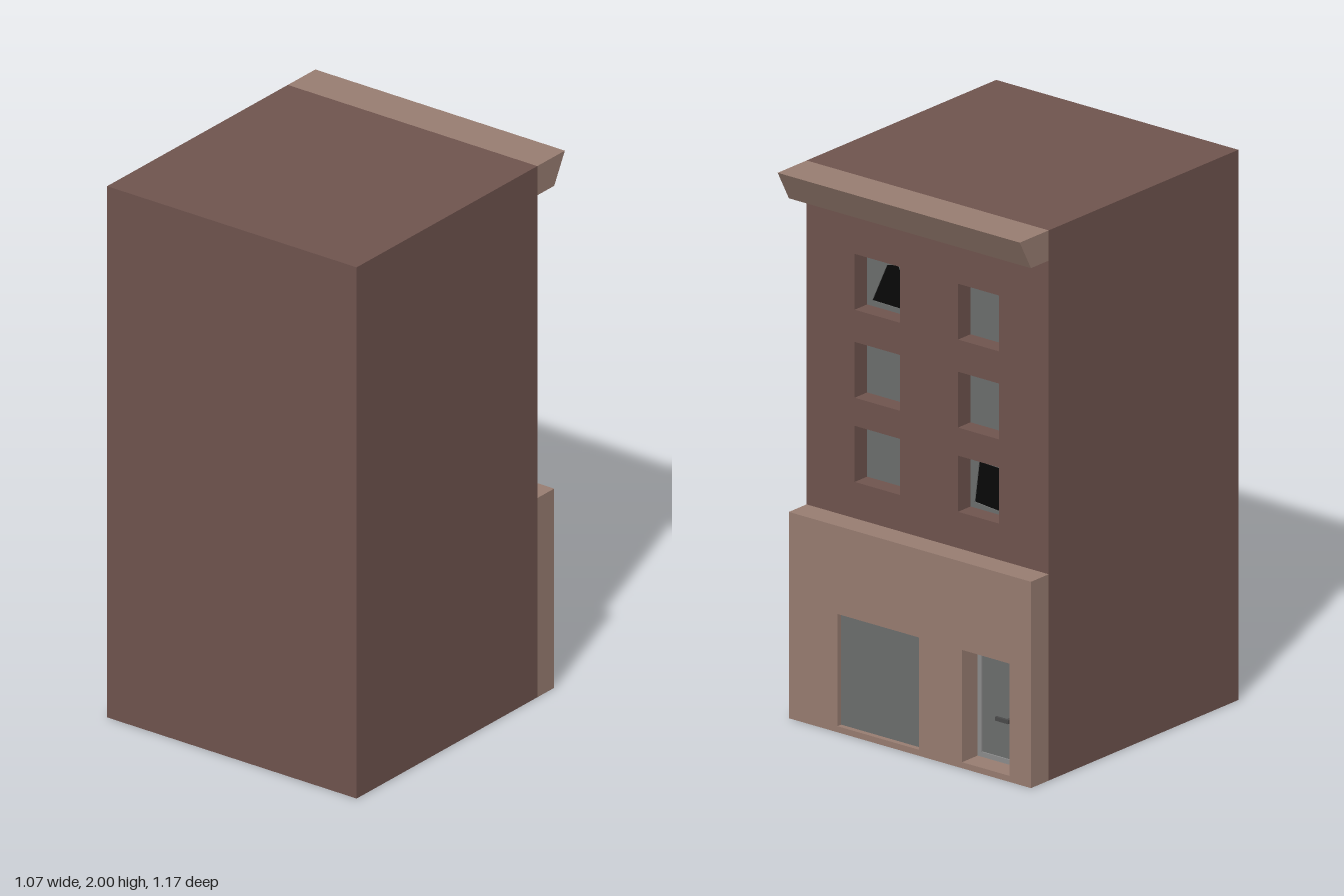
import * as THREE from 'three';

const HALF_W = 0.534, FRONT = 0.585, FACADE = -0.43, SHOP = -0.525, CORE = -0.35;

const mat = (color) => new THREE.MeshStandardMaterial({ color, flatShading: true });
const polygon = (pts, Type = THREE.Shape) => new Type(pts.map(([x, y]) => new THREE.Vector2(x, y)));
const rect = (x0, x1, y0, y1) => [[x0, y0], [x1, y0], [x1, y1], [x0, y1]];

// Flat slab in the xy plane between two depths, with optional openings
function slab(outline, holes, z0, z1) {
  const shape = polygon(outline);
  shape.holes = holes.map((h) => polygon(h, THREE.Path));
  return new THREE.ExtrudeGeometry(shape, { depth: z1 - z0, bevelEnabled: false }).translate(0, 0, z0);
}

function block(x0, x1, y0, y1, z0, z1) {
  return new THREE.BoxGeometry(x1 - x0, y1 - y0, z1 - z0)
    .translate((x0 + x1) / 2, (y0 + y1) / 2, (z0 + z1) / 2);
}

export function createModel() {
  const building = new THREE.Group();
  building.name = 'building';
  const wall = mat(0x6f544e), trim = mat(0x987d71), glass = mat(0x6c6e6d);
  const metal = mat(0x8c8c8c), dark = mat(0x080808), handleMat = mat(0x4a4a4a);

  const add = (name, geometry, material, parent = building) => {
    const mesh = new THREE.Mesh(geometry, material);
    mesh.name = name;
    parent.add(mesh);
    return mesh;
  };

  // Upper windows: two columns by three storeys, two of them with broken panes
  const columns = [[0.122, 0.322], [-0.314, -0.134]];
  const rows = [[0.882, 1.086], [1.188, 1.391], [1.508, 1.711]];
  const breaks = {
    '0-2': [[0.3, 1.528], [0.235, 1.672], [0.185, 1.682], [0.165, 1.635], [0.13, 1.525]],
    '1-0': [[-0.172, 1.055], [-0.285, 1.05], [-0.303, 0.89], [-0.152, 0.903]],
  };
  const openings = [];
  const windows = new THREE.Group();
  windows.name = 'upperWindows';
  building.add(windows);
  columns.forEach(([x0, x1], c) => rows.forEach(([y0, y1], r) => {
    const outline = rect(x0, x1, y0, y1);
    const broken = breaks[`${c}-${r}`];
    openings.push(outline);
    add(broken ? 'brokenPane' : 'windowPane', slab(outline, broken ? [broken] : [], -0.363, -0.359), glass, windows);
    if (broken) add('darkInterior', block(x0, x1, y0, y1, -0.354, CORE), dark, windows);
  }));

  // Main body and the pierced wall on the street side
  add('body', block(-HALF_W, HALF_W, 0, 2, CORE, FRONT), wall);
  add('windowWall', slab(rect(-HALF_W, HALF_W, 0, 2), openings, FACADE, CORE), wall);

  // Projecting shop storey with a display window and a doorway
  const shopWindow = [-0.04, 0.32, 0.022, 0.43];
  const doorway = [-0.44, -0.23, 0.022, 0.43];
  add('shopStorey', slab(rect(-HALF_W, HALF_W, 0, 0.75), [rect(...shopWindow), rect(...doorway)], SHOP, FACADE), trim);
  add('shopPane', block(...shopWindow, -0.505, -0.495), glass);

  // Door: frame, pane and lever handle
  const door = new THREE.Group();
  door.name = 'door';
  building.add(door);
  const [dx0, dx1, dy0, dy1] = doorway;
  const inner = [dx0 + 0.018, dx1 - 0.018, dy0 + 0.018, dy1 - 0.018];
  add('doorFrame', slab(rect(...doorway), [rect(...inner)], -0.442, FACADE), metal, door);
  add('doorPane', block(...inner, -0.437, FACADE), glass, door);
  add('handleStem', block(-0.392, -0.38, 0.184, 0.198, -0.468, -0.437), handleMat, door);
  add('handleLever', block(-0.392, -0.335, 0.184, 0.198, -0.476, -0.466), handleMat, door);

  // Cornice: slanted profile (z, y) swept across the width
  const profile = polygon([[FACADE, 1.89], [FACADE, 2], [-FRONT, 2], [SHOP, 1.89]]);
  add('cornice', new THREE.ExtrudeGeometry(profile, { depth: 2 * HALF_W, bevelEnabled: false })
    .rotateY(-Math.PI / 2).translate(HALF_W, 0, 0), trim);

  return building;
}
